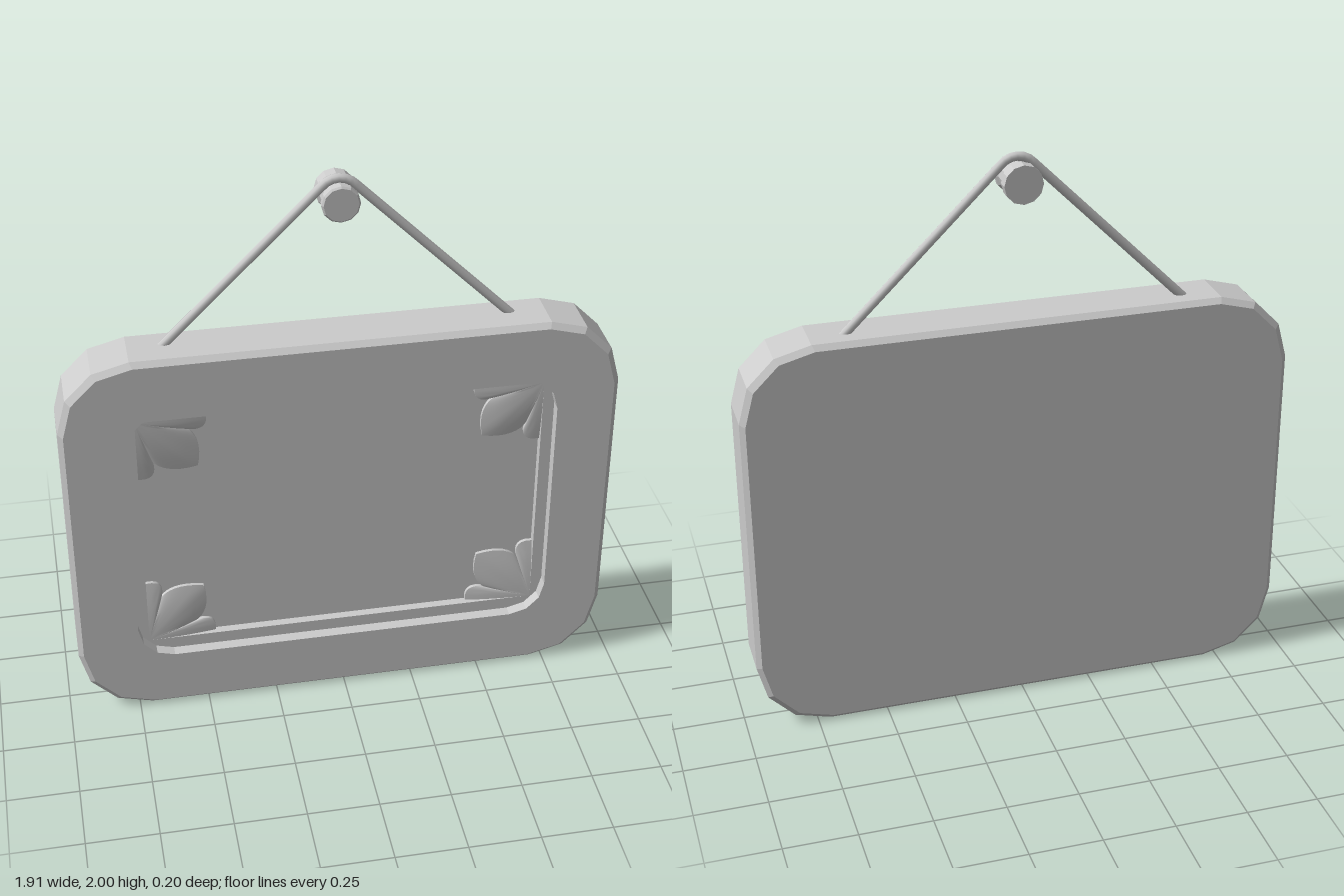
import * as THREE from 'three';
import { toCreasedNormals } from 'three/addons/utils/BufferGeometryUtils.js';

const flat = new THREE.MeshStandardMaterial({ color: 0xcccccc, flatShading: true });
const smooth = new THREE.MeshStandardMaterial({ color: 0xcccccc });

// Skin a list of equally long rows of [x, y, z] points.
function skin(rows, closed) {
  const n = rows[0].length;
  const index = [];
  for (let i = 0; i < rows.length - 1; i++) {
    for (let j = 0; j < (closed ? n : n - 1); j++) {
      const k = (j + 1) % n;
      const a = i * n + j, b = i * n + k, c = b + n, d = a + n;
      index.push(a, b, c, a, c, d);
    }
  }
  const geo = new THREE.BufferGeometry();
  geo.setAttribute('position', new THREE.Float32BufferAttribute(rows.flat(2), 3));
  geo.setIndex(index);
  geo.computeVertexNormals();
  return geo;
}

// Rounded rectangle, three facets to each corner, counter-clockwise.
function roundedRect(hw, hh, r, z, cy) {
  const points = [];
  [[1, 1], [-1, 1], [-1, -1], [1, -1]].forEach(([sx, sy], q) => {
    for (let i = 0; i <= 3; i++) {
      const a = (q + i / 3) * Math.PI / 2;
      points.push([sx * (hw - r) + r * Math.cos(a), cy + sy * (hh - r) + r * Math.sin(a), z]);
    }
  });
  return points;
}

function add(parent, name, geo, material) {
  const mesh = new THREE.Mesh(geo, material);
  mesh.name = name;
  parent.add(mesh);
  return mesh;
}

const LEDGE = 0.06, PANEL = 0.03;

// Leaf with a small lobe on each side, sloping away from its corner.
function leafGeometry() {
  const path = new THREE.Path();
  path.moveTo(0.24, 0);
  path.bezierCurveTo(0.25, 0.07, 0.19, 0.06, 0.17, 0.052);
  path.bezierCurveTo(0.2, 0.07, 0.225, 0.12, 0.205, 0.205);
  path.bezierCurveTo(0.12, 0.225, 0.07, 0.2, 0.052, 0.17);
  path.bezierCurveTo(0.06, 0.19, 0.07, 0.25, 0, 0.24);
  const edge = path.getPoints(8);
  const rows = [edge.map(p => [p.x, p.y, PANEL])];
  for (const t of [1, 0.8, 0.6, 0.4, 0.2, 0]) {
    rows.push(edge.map(p => [p.x * t, p.y * t, LEDGE - 0.018 * t * t]));
  }
  return toCreasedNormals(skin(rows, false), Math.PI / 5);
}

export function createModel() {
  const model = new THREE.Group();
  model.name = 'hangingPlaque';

  // Board: back, bevelled rim, front border, stepped recess and panel
  const sections = [
    [0, 0, 0, -0.1, 0.72],
    [0.937, 0.702, 0.24, -0.1, 0.72],
    [0.955, 0.72, 0.25, -0.082, 0.72],
    [0.955, 0.72, 0.25, 0.082, 0.72],
    [0.937, 0.702, 0.24, 0.1, 0.72],
    [0.74, 0.505, 0.125, 0.1, 0.725],
    [0.74, 0.505, 0.125, LEDGE, 0.725],
    [0.7, 0.4625, 0, LEDGE, 0.7275],
    [0.7, 0.4625, 0, PANEL, 0.7275],
    [0, 0, 0, PANEL, 0.7275],
  ];
  add(model, 'board', skin(sections.map(s => roundedRect(...s)), true), flat);

  // Corner leaves, mirrored to all four corners of the panel
  const leaf = leafGeometry();
  for (const sx of [-1, 1]) {
    for (const sy of [-1, 1]) {
      const mesh = add(model, 'cornerLeaf', leaf, smooth);
      mesh.position.set(sx * 0.7, 0.7275 + sy * 0.4625, 0);
      mesh.scale.set(-sx, -sy, 1);
    }
  }

  // Cord running up, over the peg and down again
  const arc = [];
  for (let i = 0; i <= 8; i++) {
    const a = Math.PI * (0.75 - i / 16);
    arc.push(new THREE.Vector3(0.07 * Math.cos(a), 1.914 + 0.07 * Math.sin(a), -0.016));
  }
  const path = new THREE.CurvePath();
  path.add(new THREE.LineCurve3(new THREE.Vector3(-0.61, 1.41, -0.016), arc[0]));
  path.add(new THREE.CatmullRomCurve3(arc));
  path.add(new THREE.LineCurve3(arc[8], new THREE.Vector3(0.61, 1.41, -0.016)));
  add(model, 'cord', new THREE.TubeGeometry(path, 80, 0.016, 8), smooth);

  // Peg with a shallow groove for the cord
  const profile = [
    [0, -0.1], [0.066, -0.1], [0.066, -0.06], [0.056, -0.045],
    [0.056, 0.005], [0.064, 0.012], [0.064, 0.032], [0.058, 0.038], [0, 0.038],
  ].map(([r, z]) => new THREE.Vector2(r, z));
  const peg = add(model, 'peg', new THREE.LatheGeometry(profile, 12).rotateX(Math.PI / 2), flat);
  peg.position.y = 1.914;

  return model;
}
